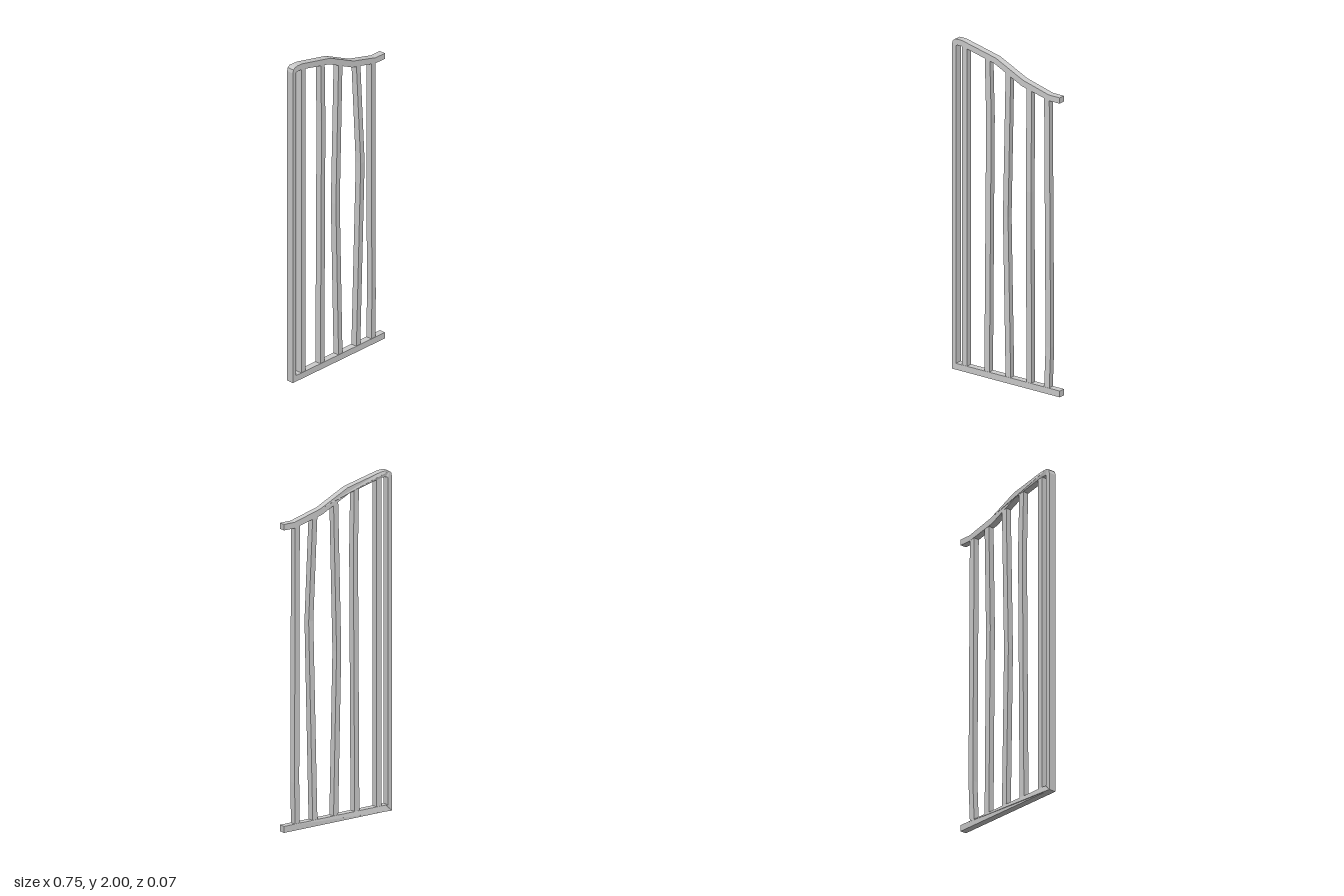
import * as THREE from 'three';

const material = new THREE.MeshStandardMaterial({ color: 0xcccccc, flatShading: true });

// The panel stands slightly askew: its centre plane drifts back towards +x.
const planeZ = (x) => -0.005 - 0.027 * x;
const HALF_DEPTH = 0.02;

// Post, top rail and bottom rail as one continuous C-shaped outline.
function frameGeometry() {
  const outline = [
    [-0.375, 0], [-0.335, 0], [0.374, 0], [0.374, 0.038], [-0.335, 0.038], [-0.348, 0.038],
    [-0.348, 1.96], [-0.335, 1.964], [-0.3, 1.963], [-0.08, 1.912], [0.11, 1.82], [0.3, 1.775],
    [0.374, 1.775], [0.374, 1.81], [0.3, 1.81], [0.12, 1.857], [-0.07, 1.947], [-0.3, 1.998],
    [-0.335, 2], [-0.357, 1.996], [-0.37, 1.985], [-0.375, 1.965],
  ];
  const shape = new THREE.Shape(outline.map(([x, y]) => new THREE.Vector2(x, y)));
  const geometry = new THREE.ExtrudeGeometry(shape, { depth: 1, bevelEnabled: false });
  const p = geometry.attributes.position;
  for (let i = 0; i < p.count; i++) {
    const x = p.getX(i);
    const front = p.getZ(i) > 0.5;
    // the post is a little deeper at the back than the rails
    const back = x < -0.345 ? HALF_DEPTH + 0.006 : HALF_DEPTH;
    p.setZ(i, planeZ(x) + (front ? HALF_DEPTH : -back));
  }
  geometry.computeVertexNormals();
  return geometry;
}

// A bent square bar through stations [x, y, z offset from the panel plane].
function barGeometry(stations, width, yaw) {
  const n = stations.length - 1;
  const geometry = new THREE.BoxGeometry(width, 1, HALF_DEPTH * 2 - 0.003, 1, n, 1);
  geometry.rotateY(yaw);
  const p = geometry.attributes.position;
  for (let i = 0; i < p.count; i++) {
    const [x, y, dz] = stations[Math.round((p.getY(i) + 0.5) * n)];
    p.setXYZ(i, p.getX(i) + x, y, p.getZ(i) + planeZ(x) + dz);
  }
  geometry.computeVertexNormals();
  return geometry;
}

export function createModel() {
  const group = new THREE.Group();
  group.name = 'railingPanel';
  const add = (name, geometry) => {
    const mesh = new THREE.Mesh(geometry, material);
    mesh.name = name;
    group.add(mesh);
  };

  add('frame', frameGeometry());

  // Upright bars, each with its own gentle bend
  const bars = [
    [[-0.289, 0.03, 0], [-0.289, 1.97, 0]],
    [[-0.135, 0.03, 0], [-0.124, 1.57, -0.002], [-0.132, 1.935, 0]],
    [[0.013, 0.03, 0], [-0.007, 1.0, -0.002], [0.013, 1.88, 0]],
    [[0.158, 0.03, 0], [0.171, 1.2, 0.022], [0.158, 1.825, 0]],
    [[0.281, 0.03, 0], [0.288, 0.28, -0.004], [0.281, 1.79, 0]],
  ];
  bars.forEach((stations, i) => add(`bar${i + 1}`, barGeometry(stations, 0.034, i ? 0.08 : 0.03)));

  return group;
}
